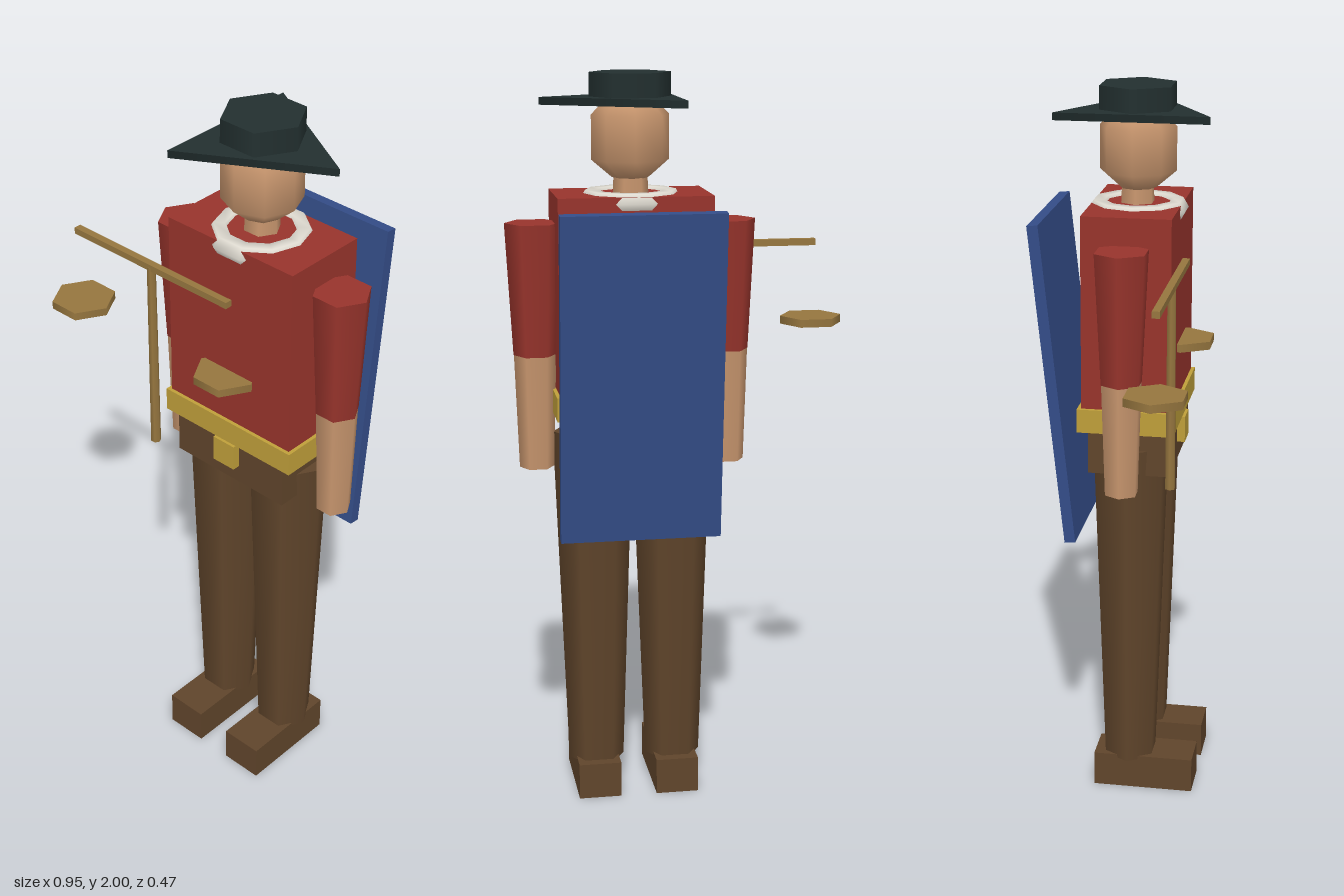
import * as THREE from 'three';

const mat = (name, color, extra = {}) => {
  const m = new THREE.MeshStandardMaterial({ color, ...extra });
  m.name = name;
  return m;
};

export function createModel() {
  const red = mat('red cloth', 0x98342c);
  const brown = mat('brown leather', 0x60452b);
  const skin = mat('skin', 0xc8966e);
  const gold = mat('gold', 0xbf9f3a);
  const blue = mat('blue cloth', 0x344d88);
  const wood = mat('wood', 0x96763f);
  const felt = mat('dark felt', 0x233030);
  const linen = mat('linen', 0xdedad0);

  const model = new THREE.Group();
  const cx = 0.136, cz = 0.025; // body axis

  const add = (name, geometry, material, x, y, z) => {
    const mesh = new THREE.Mesh(geometry, material);
    mesh.name = name;
    mesh.position.set(x, y, z);
    model.add(mesh);
    return mesh;
  };
  // Box given by its limits on each axis
  const box = (name, material, x0, x1, y0, y1, z0, z1) =>
    add(name, new THREE.BoxGeometry(x1 - x0, y1 - y0, z1 - z0), material,
      (x0 + x1) / 2, (y0 + y1) / 2, (z0 + z1) / 2);
  // Few-sided column with one corner towards +x
  const column = (name, material, x, z, y0, y1, rBottom, rTop, sides = 6) =>
    add(name, new THREE.CylinderGeometry(rTop, rBottom, y1 - y0, sides).rotateY(Math.PI / 2),
      material, x, (y0 + y1) / 2, z);

  // Torso, belt and breeches
  box('torso', red, -0.07, 0.343, 1.14, 1.685, -0.094, 0.147);
  box('belt', gold, -0.081, 0.353, 1.095, 1.16, -0.105, 0.157);
  box('buckle', gold, 0.097, 0.169, 1.022, 1.095, 0.125, 0.165);
  box('hips', brown, -0.05, 0.32, 0.97, 1.13, -0.08, 0.143);

  // Legs and arms
  for (const [side, s] of [['right', -1], ['left', 1]]) {
    const legX = cx + s * 0.108, armX = cx + s * 0.262;
    column(side + 'Leg', brown, legX, 0.027, 0.09, 1.04, 0.077, 0.11);
    const footX = cx + s * 0.109;
    box(side + 'Foot', brown, footX - 0.059, footX + 0.059, 0, 0.1, -0.07, 0.213);
    column(side + 'Sleeve', red, armX, cz, 1.255, 1.61, 0.058, 0.076);
    column(side + 'Forearm', skin, armX, cz, 0.945, 1.257, 0.047, 0.057);
  }

  // Neck, collar and head
  column('neck', skin, cx, cz, 1.64, 1.74, 0.05, 0.045);
  add('collar', new THREE.TorusGeometry(0.107, 0.03, 6, 10).rotateX(Math.PI / 2),
    linen, cx, 1.667, 0.027);
  const headProfile = [[0, 1.715], [0.05, 1.726], [0.104, 1.772], [0.104, 1.89], [0.07, 1.925], [0, 1.93]]
    .map(([r, y]) => new THREE.Vector2(r, y));
  add('head', new THREE.LatheGeometry(headProfile, 8), skin, cx, 0, 0.026);

  // Three-cornered hat
  column('hatBrim', felt, cx, cz, 1.917, 1.937, 0.24, 0.24, 3);
  column('hatCrown', felt, cx, cz, 1.925, 2, 0.11, 0.109);

  // Slanted cape behind the back
  const cape = add('cape', new THREE.BoxGeometry(0.433, 0.89, 0.03), blue, cx, 1.215, -0.173);
  cape.rotation.x = -0.105;

  // Rods and discs in front
  box('crossRod', wood, -0.4, 0.144, 1.514, 1.532, 0.147, 0.167);
  column('uprightRod', wood, -0.126, 0.157, 0.967, 1.522, 0.014, 0.012);
  for (const x of [-0.39, 0.134]) column('disc', wood, x, 0.156, 1.294, 1.316, 0.087, 0.087);

  return model;
}
